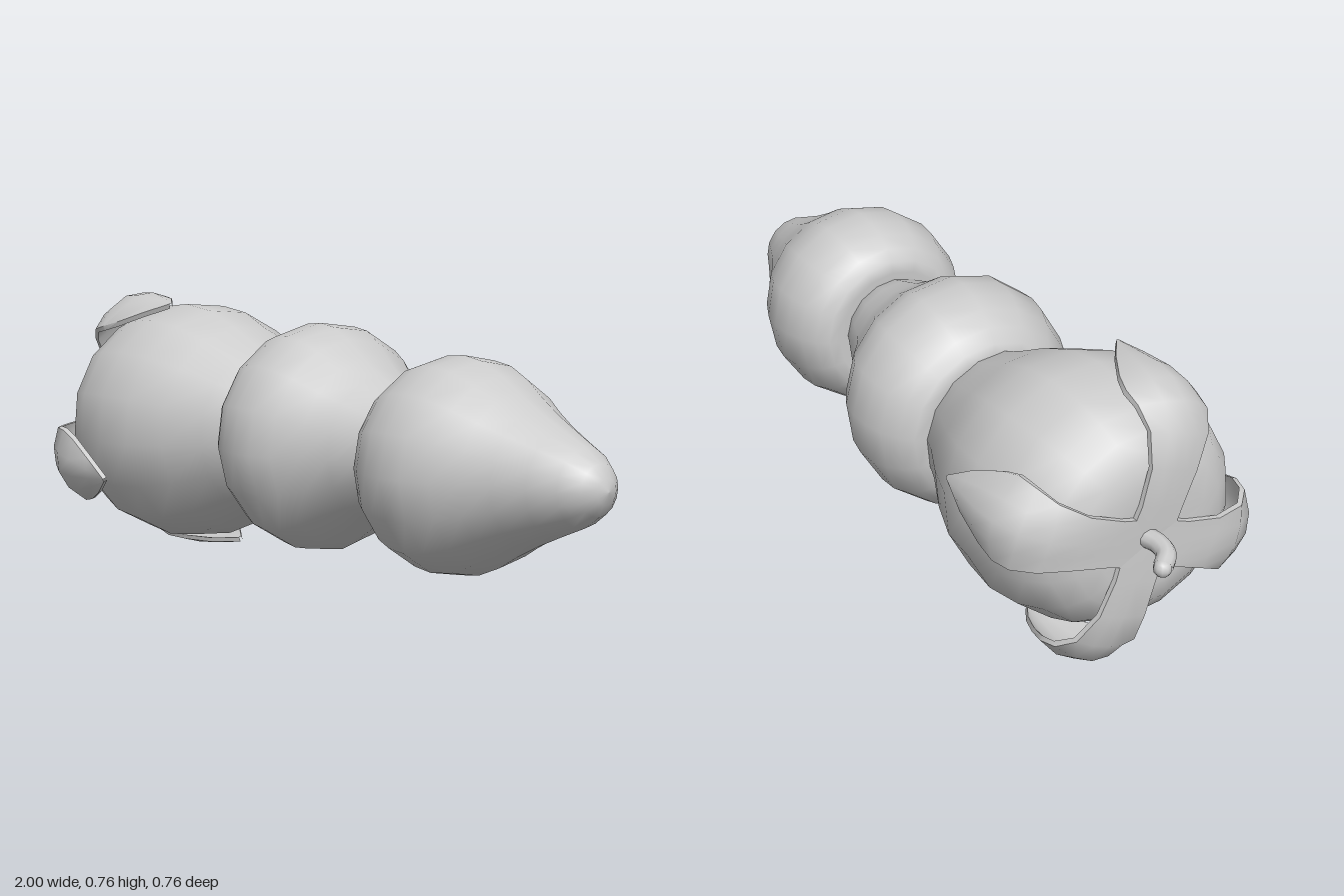
import * as THREE from 'three';
import { toCreasedNormals } from 'three/addons/utils/BufferGeometryUtils.js';

const material = new THREE.MeshStandardMaterial({ color: 0xcccccc });

function part(name, geometry) {
  const mesh = new THREE.Mesh(geometry, material);
  mesh.name = name;
  return mesh;
}

// Pear-shaped lobe lying along x; profile is [x, radius], the axis drifts in z with x
function lobe(name, profile, y, zStart, zEnd, roll = 0) {
  const geometry = new THREE.LatheGeometry(profile.map(([x, r]) => new THREE.Vector2(r, x)), 16);
  geometry.rotateZ(-Math.PI / 2).rotateX(roll);
  const x0 = profile[0][0], x1 = profile[profile.length - 1][0];
  const pos = geometry.attributes.position;
  for (let i = 0; i < pos.count; i++) {
    const t = (pos.getX(i) - x0) / (x1 - x0);
    pos.setZ(i, pos.getZ(i) + THREE.MathUtils.lerp(zStart, zEnd, t));
  }
  geometry.translate(0, y, 0);
  return part(name, geometry);
}

// Curved leaf swept over cross-sections: [x, distance from axis, half width, edge droop]
function sepalGeometry() {
  const rows = [
    [-0.88, 0, 0.065, 0], [-0.885, 0.1, 0.062, 0], [-0.887, 0.2, 0.07, 0.005],
    [-0.875, 0.29, 0.09, 0.02], [-0.835, 0.355, 0.108, 0.04], [-0.77, 0.388, 0.112, 0.05],
    [-0.7, 0.396, 0.095, 0.045], [-0.62, 0.388, 0.055, 0.02], [-0.55, 0.38, 0.004, 0],
  ];
  const across = [-1, -0.5, 0, 0.5, 1];
  const loop = [...across.map(t => [t, 0]), ...across.map(t => [-t, -0.014])];
  const n = loop.length, positions = [], index = [];
  rows.forEach(([x, r, w, droop], i) => {
    const a = rows[Math.max(i - 1, 0)], b = rows[Math.min(i + 1, rows.length - 1)];
    const tangent = new THREE.Vector2(b[0] - a[0], b[1] - a[1]).normalize();
    for (const [t, depth] of loop) {
      const d = depth - droop * t * t;
      positions.push(x - tangent.y * d, r + tangent.x * d, w * t);
    }
    if (i === rows.length - 1) return;
    for (let j = 0; j < n; j++) {
      const p = i * n + j, q = i * n + (j + 1) % n;
      index.push(p, q, p + n, q, q + n, p + n);
    }
  });
  const geometry = new THREE.BufferGeometry();
  geometry.setAttribute('position', new THREE.Float32BufferAttribute(positions, 3));
  geometry.setIndex(index);
  return toCreasedNormals(geometry, 0.9);
}

export function createModel() {
  const model = new THREE.Group();
  model.name = 'stackedFruit';

  // Three nested lobes, from the stem to the tip
  model.add(lobe('baseLobe', [
    [-0.86, 0], [-0.868, 0.08], [-0.87, 0.15], [-0.855, 0.21], [-0.82, 0.262], [-0.77, 0.3],
    [-0.7, 0.328], [-0.6, 0.341], [-0.5, 0.328], [-0.4, 0.287], [-0.3, 0.232],
    [-0.23, 0.203], [-0.15, 0.15], [-0.1, 0],
  ], 0.395, 0.02, -0.045, 0.1));
  model.add(lobe('middleLobe', [
    [-0.235, 0], [-0.245, 0.1], [-0.258, 0.19], [-0.245, 0.225], [-0.215, 0.257], [-0.17, 0.287],
    [-0.12, 0.305], [-0.06, 0.312], [0, 0.305], [0.06, 0.277], [0.13, 0.231],
    [0.2, 0.192], [0.28, 0.162], [0.34, 0.14], [0.4, 0.1], [0.44, 0],
  ], 0.405, -0.05, -0.01, 0.05));
  model.add(lobe('tipLobe', [
    [0.345, 0], [0.338, 0.1], [0.33, 0.17], [0.337, 0.2], [0.36, 0.23], [0.4, 0.256], [0.45, 0.273],
    [0.51, 0.279], [0.57, 0.27], [0.64, 0.24], [0.7, 0.203], [0.77, 0.165],
    [0.85, 0.128], [0.92, 0.097], [0.965, 0.064], [0.988, 0.032], [0.995, 0],
  ], 0.4, -0.015, -0.025));

  // Cross of four sepals hugging the base
  const calyx = new THREE.Group();
  calyx.name = 'calyx';
  calyx.position.y = 0.385;
  const leaf = sepalGeometry();
  for (let k = 0; k < 4; k++) {
    const sepal = part('sepal', leaf);
    sepal.rotation.x = THREE.MathUtils.degToRad(19) + k * Math.PI / 2;
    calyx.add(sepal);
  }
  model.add(calyx);

  // Hooked stem with a rounded end
  const path = new THREE.CatmullRomCurve3([
    new THREE.Vector3(-0.86, 0.4, -0.005), new THREE.Vector3(-0.91, 0.4, 0.008),
    new THREE.Vector3(-0.95, 0.395, 0.002), new THREE.Vector3(-0.978, 0.385, -0.028),
  ]);
  const stem = new THREE.Group();
  stem.name = 'stem';
  const end = part('stemEnd', new THREE.SphereGeometry(0.023, 10, 8));
  end.position.copy(path.getPoint(1));
  stem.add(part('stalk', new THREE.TubeGeometry(path, 10, 0.025, 10)), end);
  model.add(stem);

  return model;
}
